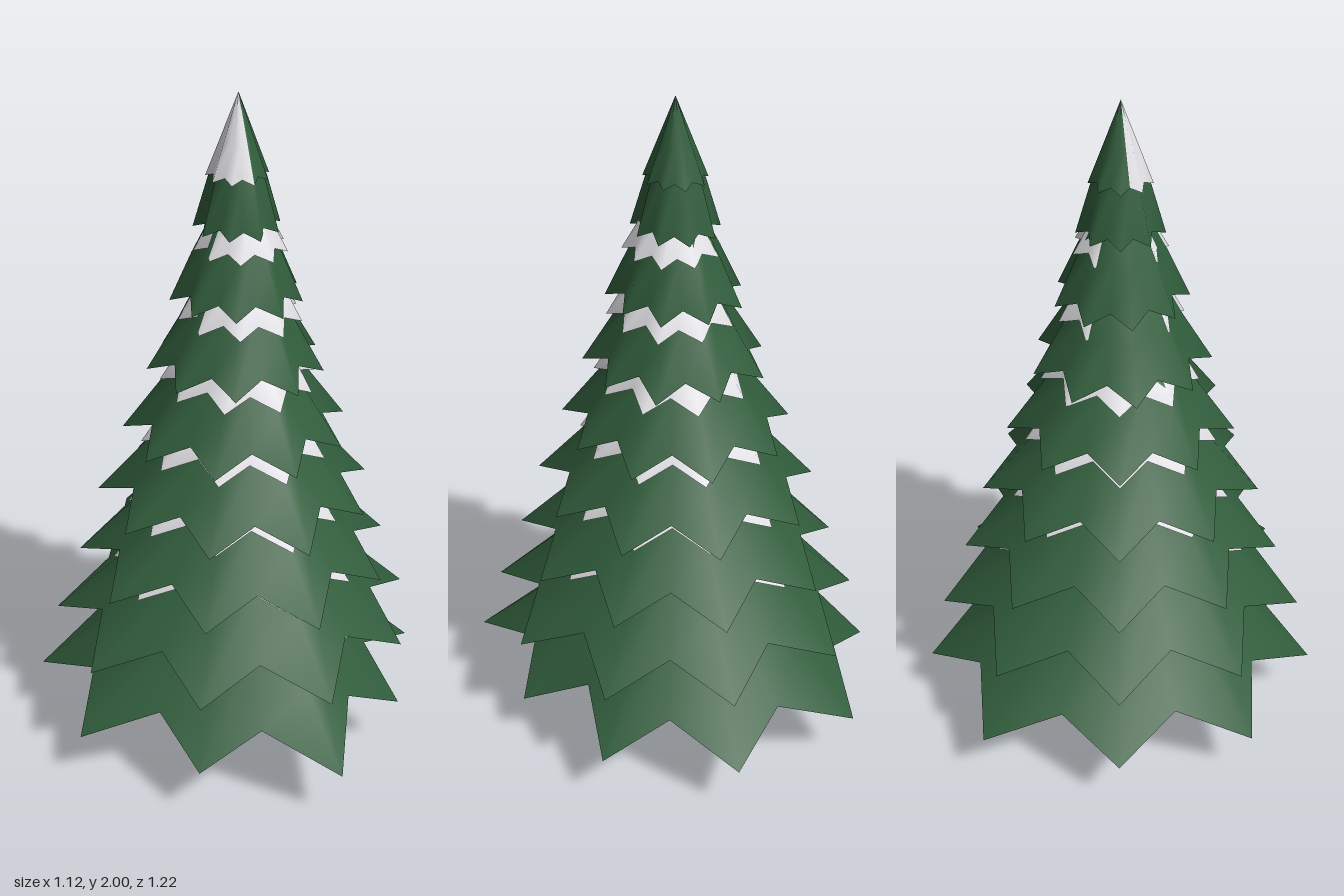
import * as THREE from 'three';

const green = new THREE.MeshStandardMaterial({ color: 0x315d3c, side: THREE.DoubleSide });
green.name = 'needleGreen';
const white = new THREE.MeshStandardMaterial({ color: 0xe6e6ea, side: THREE.DoubleSide });
white.name = 'snowWhite';
const brown = new THREE.MeshStandardMaterial({ color: 0x4e3129 });
brown.name = 'barkBrown';

const POINTS = 9, SIDES = POINTS * 2;

// Star outline of the lowest tier: tip, notch, tip, notch ... as shares of its radius
const OUTLINE = [0.94, 0.65, 0.87, 0.73, 1.05, 0.78, 0.92, 0.73, 0.99, 0.77,
  1.02, 0.8, 0.99, 0.83, 1.05, 0.82, 1.0, 0.75];

// Tiers from bottom to top: radius, snow edge above the tips, shoulder width, turn in degrees, snow drift
const TIERS = [
  [0.59, 0.18, 0.54, 0, 0],
  [0.547, 0.172, 0.54, 0, 0],
  [0.472, 0.16, 0.53, 0, 0],
  [0.41, 0.153, 0.52, 0, 0],
  [0.333, 0.148, 0.5, 0, 0.005],
  [0.26, 0.142, 0.47, 10, 0.008],
  [0.193, 0.14, 0.4, 10, 0.008],
  [0.125, 0.14, 0.39, 0, 0],
];

// Pleated star cone through rows of [share of radius, height], from apex to rim;
// irregular = how much of the uneven outline is used, puff = outward offset
function starCone(radius, rows, irregular, puff, isWhite) {
  const pos = [], index = [];
  const geometry = new THREE.BufferGeometry();
  for (const [f, y] of rows) {
    for (let j = 0; j < SIDES; j++) {
      const notch = j % 2 === 1;
      const even = notch ? 0.77 : 0.985;
      const share = even + (OUTLINE[j] - even) * irregular;
      const r = f * (radius * share + puff);
      const a = (j * Math.PI) / POINTS;
      const lift = notch ? 0.155 * radius * f : 0;
      pos.push(r * Math.cos(a), y + lift + puff * f, r * Math.sin(a));
    }
  }
  for (let j = 0; j < SIDES; j++) {
    const n = (j + 1) % SIDES, start = index.length;
    for (let i = 0; i < rows.length - 1; i++) {
      const u = i * SIDES, l = u + SIDES;
      index.push(l + j, u + j, l + n);
      if (i > 0) index.push(u + j, u + n, l + n);
    }
    geometry.addGroup(start, index.length - start, isWhite(j) ? 1 : 0);
  }
  geometry.setAttribute('position', new THREE.Float32BufferAttribute(pos, 3));
  geometry.setIndex(index);
  geometry.computeVertexNormals();
  return geometry;
}

export function createModel() {
  const tree = new THREE.Group();
  tree.name = 'snowyFirTree';

  // Trunk
  const trunk = new THREE.Mesh(new THREE.CylinderGeometry(0.05, 0.05, 0.405, 12), brown);
  trunk.name = 'trunk';
  trunk.position.y = 0.2025;
  tree.add(trunk);

  // Branch tiers, each carrying a smaller layer of snow
  TIERS.forEach(([radius, snowEdge, shoulder, turn, drift], i) => {
    const top = i === TIERS.length - 1;
    const rows = [[0, snowEdge + 0.24], [shoulder / 2, snowEdge + 0.17],
      [shoulder, snowEdge + 0.1], [0.67, snowEdge], [1, 0]];
    const irregular = i === 0 ? 1 : 0.4;
    const rotation = THREE.MathUtils.degToRad(turn);
    const tier = new THREE.Group();
    tier.name = `tier${i + 1}`;
    tier.position.y = 0.173 + i * 0.2065;

    const branches = new THREE.Mesh(
      starCone(radius, rows, irregular, 0, () => false), [green, white]);
    branches.name = 'branches';
    branches.rotation.y = rotation;

    // The snow on the treetop covers one side only
    const snow = new THREE.Mesh(
      starCone(radius, rows.slice(0, 4), irregular, 0.009,
        (j) => !top || (j >= 4 && j <= 10)), [green, white]);
    snow.name = 'snow';
    snow.rotation.y = rotation;
    snow.position.set(drift, 0, drift);
    tier.add(branches, snow);
    tree.add(tier);
  });

  return tree;
}
